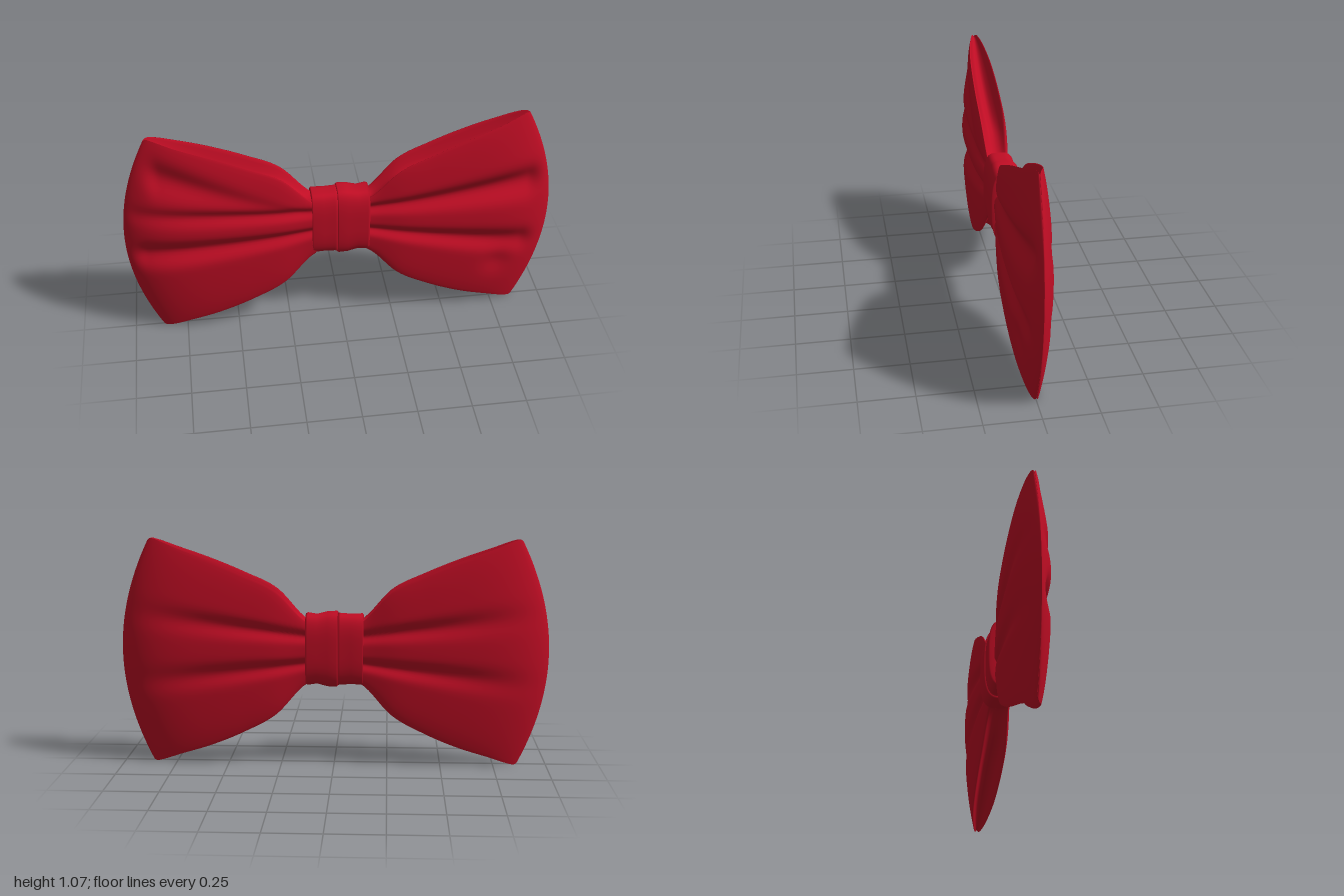
import * as THREE from 'three';

const red = new THREE.MeshStandardMaterial({ color: 0xc00d24, side: THREE.DoubleSide });
red.name = 'red satin';

// Skin a list of closed loops of [x, y, z] points
function skin(loops, flip, name) {
  const n = loops[0].length, index = [];
  for (let i = 0; i < loops.length - 1; i++) {
    for (let j = 0; j < n; j++) {
      const a = i * n + j, b = a + n, c = i * n + (j + 1) % n, d = c + n;
      if (flip) index.push(a, c, b, b, c, d);
      else index.push(a, b, c, b, d, c);
    }
  }
  const g = new THREE.BufferGeometry();
  g.setAttribute('position', new THREE.Float32BufferAttribute(loops.flat(2), 3));
  g.setIndex(index);
  g.computeVertexNormals();
  const mesh = new THREE.Mesh(g, red);
  mesh.name = name;
  return mesh;
}

// Smooth curve through evenly spaced values
const profile = (values) => {
  const curve = new THREE.SplineCurve(values.map((v, i) => new THREE.Vector2(i, v)));
  return (u) => curve.getPoint(u).y;
};
const topEdge = profile([0.685, 0.832, 0.907, 0.97, 1.025, 1.077]);
const bottomEdge = profile([0.4, 0.25, 0.165, 0.1, 0.05, 0]);
const fullness = profile([0.058, 0.078, 0.086, 0.088, 0.088, 0.086]);

// Folds: [x0, y0, x1, y1, depth at start, depth at end, width at end]
const folds = {
  left: [[0.13, 0.635, 0.88, 0.72, 0.35, 0.72, 0.07], [0.13, 0.515, 0.86, 0.385, 0.35, 0.42, 0.06]],
  right: [[0.13, 0.635, 0.92, 0.69, 0.3, 0.2, 0.045], [0.22, 0.66, 0.82, 0.89, 0.05, 0.55, 0.08],
    [0.13, 0.525, 0.9, 0.465, 0.35, 0.6, 0.06]],
  back: [[0.13, 0.62, 0.9, 0.72, 0.3, 0.06, 0.06], [0.13, 0.49, 0.9, 0.4, 0.3, 0.06, 0.06]],
};

function foldFactor(list, x, y) {
  let f = 1;
  for (const [x0, y0, x1, y1, d0, d1, w] of list) {
    const t = (x - x0) / (x1 - x0), tc = THREE.MathUtils.clamp(t, 0, 1);
    const dy = (y - y0 - (y1 - y0) * t) / (0.022 + (w - 0.022) * tc);
    const fade = t > 1 ? Math.exp(-(((t - 1) / 0.09) ** 2)) : t < 0 ? Math.exp(-((t / 0.1) ** 2)) : 1;
    f -= (d0 + (d1 - d0) * tc * tc) * fade * Math.exp(-dy * dy);
  }
  return Math.max(f, 0.15);
}

// One puffed loop of cloth, with hollow upper and lower openings
function wing(sign, name) {
  const NU = 56, NV = 64, loops = [];
  // Lip across an opening: [fraction of depth, drop]
  const halfLip = [[0.97, -0.001], [0.9, -0.004], [0.8, -0.02], [0.62, -0.055], [0.35, -0.085]];
  const lip = [...halfLip, [0, -0.095], ...halfLip.map(([f, d]) => [-f, d]).reverse()];
  const front = sign > 0 ? folds.left : folds.right;
  for (let i = 0; i <= NU; i++) {
    const u = Math.sin((i / NU) * Math.PI / 2);
    const c = Math.max(0, (u - 0.96) / 0.04);
    const shrink = 0.025 * (1 - Math.sqrt(Math.max(0, 1 - c * c)));
    const yt = topEdge(u) - shrink, yb = bottomEdge(u) + shrink;
    const taper = Math.max(0, 1 - u ** 7) ** 0.8;
    const hollow = Math.max(0, Math.sin(Math.PI * u)) ** 0.7;
    const depthAt = (v, list) => {
      const q = 2 * v - 1;
      const x = 0.12 + u * (0.75 + 0.13 * (1 - q * q));
      const y = yb + (yt - yb) * v;
      const round = 1 - (0.12 + 0.28 * u) * q * q - 0.08 * q ** 10;
      let h = fullness(u) * taper * round * foldFactor(list, x, y);
      // Soft dimple near the lower corner
      if (list === folds.left) {
        h *= 1 - 0.2 * Math.exp(-(((x - 0.76) / 0.07) ** 2) - ((y - 0.27) / 0.07) ** 2);
      }
      return [x * sign, y, h];
    };
    const loop = [];
    const addLip = (v, dir, order) => {
      const [x, y, zf] = depthAt(v, front), zb = depthAt(v, folds.back)[2];
      for (const [f, dy] of order) loop.push([x, y + dir * hollow * dy, f * (f > 0 ? zf : zb)]);
    };
    for (let k = 0; k <= NV; k++) loop.push(depthAt(k / NV, front));
    addLip(1, 1, lip);
    for (let k = NV; k >= 0; k--) {
      const [x, y, h] = depthAt(k / NV, folds.back);
      loop.push([x, y, -h]);
    }
    addLip(0, -1, [...lip].reverse());
    loops.push(loop);
  }
  return skin(loops, sign < 0, name);
}

// Rounded band around the middle; rows are [x, half height, back depth]
function band(rows, name) {
  const N = 64;
  const loops = rows.map(([x, ry, rz]) => Array.from({ length: N }, (_, k) => {
    const a = -Math.PI / 2 + (k / N) * Math.PI * 2, c = Math.cos(a), s = Math.sin(a);
    const z = c > 0 ? 0.78 * c ** 0.55 : -(Math.abs(c) ** 0.5);
    return [x, 0.556 + ry * Math.sign(s) * Math.abs(s) ** 0.7, rz * z];
  }));
  return skin(loops, false, name);
}

export function createModel() {
  const model = new THREE.Group();
  model.name = 'bowTie';
  model.add(wing(1, 'leftWing'), wing(-1, 'rightWing'));
  model.add(band([[-0.134, 0.12, 0.05], [-0.137, 0.16, 0.08], [-0.132, 0.166, 0.086], [-0.08, 0.164, 0.083],
    [-0.03, 0.167, 0.083], [-0.016, 0.169, 0.084], [-0.014, 0.14, 0.07]], 'knotRightBand'));
  model.add(band([[-0.016, 0.14, 0.07], [-0.018, 0.172, 0.087], [-0.013, 0.177, 0.09], [0.03, 0.175, 0.09],
    [0.08, 0.162, 0.087], [0.122, 0.169, 0.089], [0.132, 0.165, 0.086], [0.13, 0.12, 0.05]], 'knotLeftBand'));
  return model;
}
